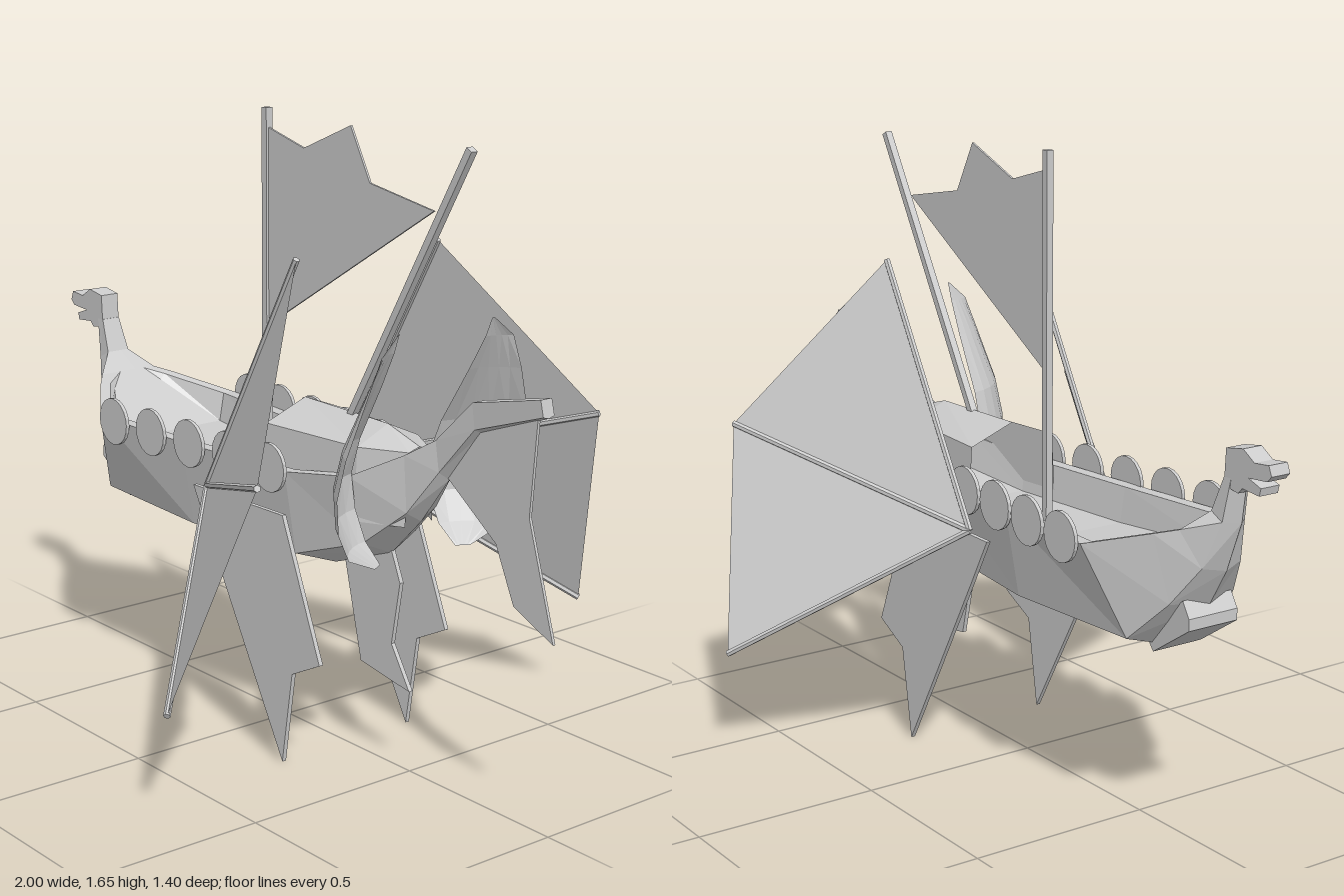
import * as THREE from 'three';

const grey = new THREE.MeshStandardMaterial({ color: 0xcccccc, flatShading: true, side: THREE.DoubleSide });

function add(parent, name, geometry) {
  const mesh = new THREE.Mesh(geometry, grey);
  mesh.name = name;
  parent.add(mesh);
  return mesh;
}

// Upright plate: outline in x/y, thickness along z, centred on z
function plate(parent, name, points, thick, z = 0) {
  const shape = new THREE.Shape(points.map(([x, y]) => new THREE.Vector2(x, y)));
  const geo = new THREE.ExtrudeGeometry(shape, { depth: thick, bevelEnabled: false });
  geo.translate(0, 0, z - thick / 2);
  return add(parent, name, geo);
}

// Square or round bar between two points
function bar(parent, name, a, b, r, sides = 4) {
  const p = new THREE.Vector3(...a), q = new THREE.Vector3(...b);
  const dir = q.clone().sub(p);
  const geo = new THREE.CylinderGeometry(r, r, dir.length(), sides);
  if (sides === 4) geo.rotateY(Math.PI / 4);
  const mesh = add(parent, name, geo);
  mesh.position.copy(p).add(q).multiplyScalar(0.5);
  mesh.quaternion.setFromUnitVectors(new THREE.Vector3(0, 1, 0), dir.normalize());
  return mesh;
}

// Skin through cross-sections that all have the same number of points
function loft(sections, closed) {
  const pos = [], n = sections[0].length;
  const tri = (...pts) => pts.forEach((p) => pos.push(...p));
  for (let i = 0; i < sections.length - 1; i++) {
    const s = sections[i], t = sections[i + 1];
    for (let j = 0; j < (closed ? n : n - 1); j++) {
      const k = (j + 1) % n;
      tri(s[j], t[j], s[k]);
      tri(s[k], t[j], t[k]);
    }
  }
  if (closed) {
    const first = sections[0], last = sections[sections.length - 1];
    for (let j = 1; j < n - 1; j++) {
      tri(first[0], first[j], first[j + 1]);
      tri(last[0], last[j + 1], last[j]);
    }
  }
  const geo = new THREE.BufferGeometry();
  geo.setAttribute('position', new THREE.Float32BufferAttribute(pos, 3));
  geo.computeVertexNormals();
  return geo;
}

// Hull ribs: keel x,y | chine x,y,z | gunwale x,y,z | deck height (0 = solid)
function buildHull(group) {
  const ribs = [
    [-0.885, 0.97, -0.86, 0.97, 0.028, -0.835, 0.97, 0.028, 0],
    [-0.87, 0.86, -0.84, 0.86, 0.035, -0.80, 0.88, 0.035, 0],
    [-0.82, 0.73, -0.80, 0.74, 0.06, -0.75, 0.83, 0.09, 0],
    [-0.76, 0.63, -0.73, 0.64, 0.10, -0.70, 0.815, 0.13, 0.8],
    [-0.64, 0.49, -0.63, 0.535, 0.15, -0.55, 0.77, 0.232, 0.69],
    [-0.2, 0.485, -0.2, 0.53, 0.168, -0.2, 0.765, 0.208, 0.67],
    [0.2, 0.49, 0.2, 0.54, 0.135, 0.2, 0.765, 0.172, 0.67],
    [0.42, 0.57, 0.41, 0.61, 0.09, 0.4, 0.79, 0.13, 0.7],
    [0.53, 0.68, 0.53, 0.71, 0.05, 0.53, 0.86, 0.06, 0],
    [0.63, 0.81, 0.62, 0.83, 0.027, 0.61, 0.91, 0.03, 0],
    [0.74, 0.95, 0.735, 0.96, 0.02, 0.725, 1.025, 0.02, 0],
    [0.96, 1.03, 0.96, 1.035, 0.018, 0.95, 1.075, 0.018, 0],
  ];
  const sections = ribs.map(([kx, ky, cx, cy, cz, gx, gy, gz, deck]) => {
    const rim = deck ? gz - 0.035 : gz * 0.6;
    const inner = deck ? gz - 0.05 : gz * 0.3;
    const half = [[cx, cy, cz], [gx, gy, gz], [gx, gy, rim], [gx, deck || gy, inner]];
    const mirrored = half.map(([x, y, z]) => [x, y, -z]).reverse();
    return [[kx, ky, 0], ...half, ...mirrored];
  });
  add(group, 'hull', loft(sections, true));
}

export function createModel() {
  const group = new THREE.Group();
  group.name = 'wingedLongship';
  buildHull(group);

  // Bow carvings
  plate(group, 'figurehead', [
    [-0.835, 0.95], [-0.84, 1.04], [-0.90, 1.05], [-0.94, 1.025], [-0.99, 1.03], [-1, 1.005],
    [-0.985, 0.99], [-0.92, 0.985], [-0.965, 0.97], [-0.96, 0.95], [-0.90, 0.955], [-0.885, 0.94],
  ], 0.056);
  plate(group, 'ram', [[-0.75, 0.65], [-0.775, 0.61], [-0.775, 0.58], [-0.64, 0.49], [-0.6, 0.54]], 0.15);

  // Stern cabin with pitched roof, open towards the deck
  const cabin = [[0.07, 0.86, 0.91, 0.14], [0.4, 0.86, 0.905, 0.11], [0.52, 0.86, 0.87, 0.045]]
    .map(([x, eave, ridge, w]) => [
      [x, 0.67, w], [x, eave, w - 0.01], [x, ridge, 0], [x, eave, 0.01 - w], [x, 0.67, -w],
    ]);
  add(group, 'cabin', loft(cabin, false));

  // Masts and flag
  bar(group, 'mainMast', [-0.09, 0.66, 0], [-0.09, 1.65, 0], 0.014);
  bar(group, 'rearMast', [0.24, 0.865, 0], [0.685, 1.62, 0], 0.014);
  plate(group, 'flag', [
    [-0.085, 1.6], [-0.085, 1.075], [0.56, 1.46], [0.325, 1.5], [0.25, 1.635], [0.065, 1.56],
  ], 0.006);

  // Tail fin and rudder on the centre line
  plate(group, 'tailFin', [
    [0.62, 0.82], [0.8, 0.69], [0.865, 0.55], [1, 0.49], [0.91, 0.78], [0.93, 1.03], [0.74, 0.97],
  ], 0.008);
  plate(group, 'rudder', [
    [0.31, 0.25], [0.5, 0.22], [0.43, 0.33], [0.46, 0.5], [0.4, 0.64], [0.24, 0.53],
  ], 0.012);

  for (const s of [1, -1]) {
    const side = new THREE.Group();
    side.name = s > 0 ? 'leftSide' : 'rightSide';
    group.add(side);

    // Row of round shields along the gunwale
    for (let i = 0; i < 5; i++) {
      const geo = new THREE.CylinderGeometry(0.065, 0.065, 0.01, 20).rotateX(Math.PI / 2);
      add(side, 'shield', geo).position.set(-0.475 + i * 0.158, 0.77, s * (0.235 - i * 0.012));
    }

    // Wing: two membranes stretched between three spars
    const root = [-0.06, 0.68, s * 0.225];
    const tips = [[0.32, 1.335, s * 0.23], [0.59, 0.88, s * 0.56], [0.41, 0.3, s * 0.695]];
    add(side, 'wingMembrane', loft([[root, tips[0]], [root, tips[1]], [root, tips[2]]], false));
    tips.forEach((tip) => bar(side, 'wingSpar', root, tip, 0.009, 6));

    // Flat fin hanging below the hull
    plate(side, 'lowerFin', [
      [-0.13, 0.665], [-0.06, 0.54], [0.25, 0.002], [0.29, 0.255], [0.4, 0.31], [0.25, 0.67],
    ], 0.012, s * 0.213);

    // Cupped stern shell: rows of inner edge, bulge and outer edge (y, then x,z pairs)
    const rows = [
      [0.59, 0.52, 0.125, 0.53, 0.14, 0.54, 0.16],
      [0.635, 0.46, 0.122, 0.47, 0.2, 0.56, 0.26],
      [0.71, 0.42, 0.122, 0.44, 0.23, 0.57, 0.3],
      [0.8, 0.41, 0.127, 0.44, 0.24, 0.58, 0.314],
      [0.9, 0.45, 0.133, 0.47, 0.235, 0.595, 0.3],
      [1.05, 0.54, 0.142, 0.55, 0.21, 0.615, 0.25],
      [1.14, 0.59, 0.148, 0.595, 0.185, 0.62, 0.215],
      [1.19, 0.61, 0.15, 0.612, 0.153, 0.614, 0.156],
    ].map(([y, ax, az, bx, bz, cx, cz]) => new THREE.QuadraticBezierCurve3(
      new THREE.Vector3(ax, y, s * az),
      new THREE.Vector3(bx, y, s * bz),
      new THREE.Vector3(cx, y, s * cz),
    ).getPoints(5).map((p) => p.toArray()));
    add(side, 'sternShell', loft(rows, false));
  }
  return group;
}
